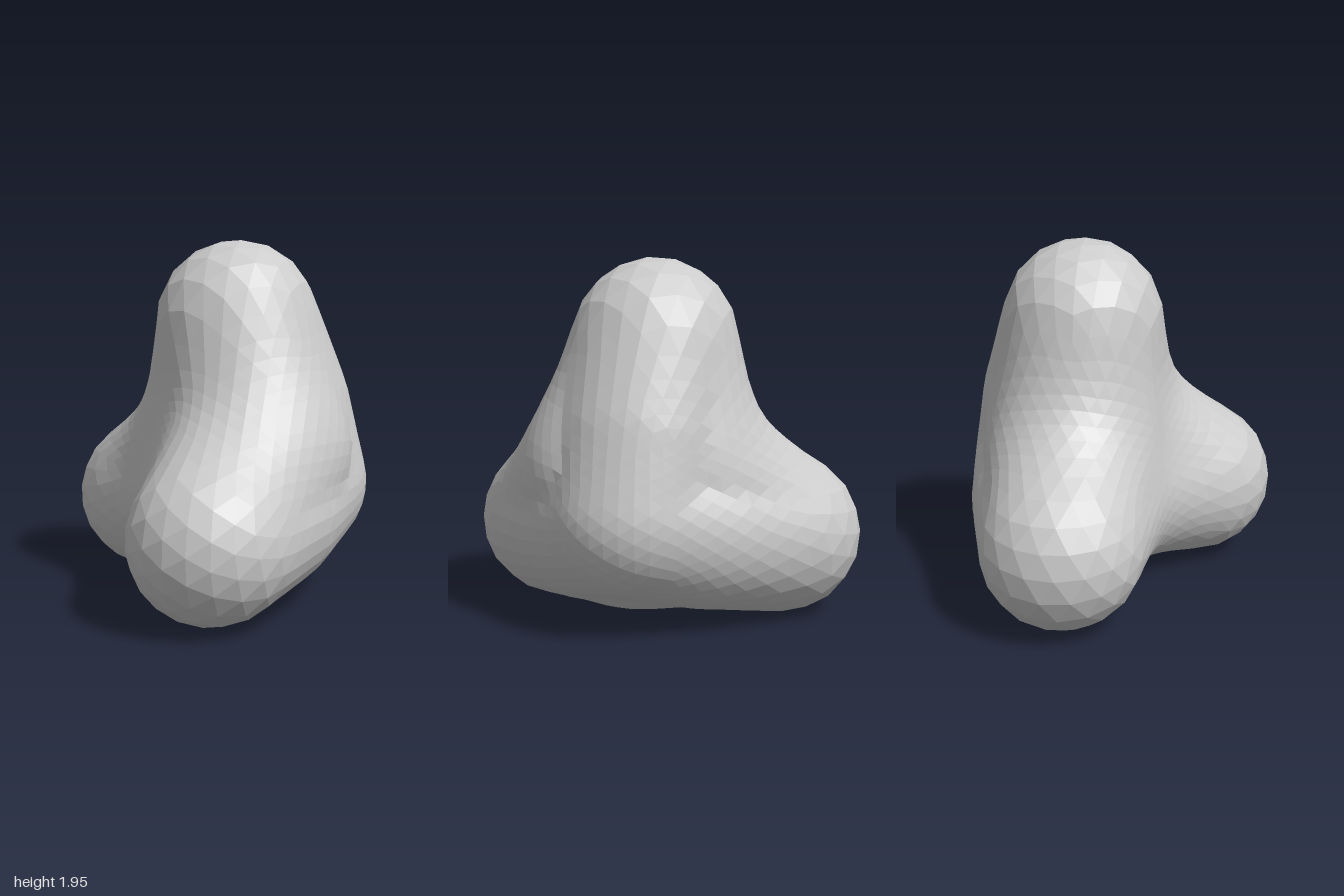
import * as THREE from 'three';

const V = (x, y, z) => new THREE.Vector3(x, y, z);
const RADIUS = 0.44;
const BLEND = 0.08;
const BULGE = 0.045;
const centre = V(0.18, 0.7, -0.18);

// Ends of the three lobes and the rear corner where they meet
const top = V(0.14, 1.51, -0.19);
const side = V(-0.56, 0.44, -0.21);
const front = V(0.56, 0.455, 0.41);
const hub = V(0.32, 0.62, -0.41);

// Saddle points that pull the webs between lobes inwards
const topSide = V(0.02, 0.82, -0.23);
const topFront = V(0.36, 0.83, -0.14);
const sideFront = V(0.24, 0.54, -0.11);

const triangle = (a, b, c) => new THREE.Triangle(a, b, c);

// Front of each lobe, and the back ridge that arches from the hub to its end
const lobes = [];
const ridges = [];
for (const [end, saddleA, saddleB] of [
  [top, topSide, topFront],
  [side, topSide, sideFront],
  [front, topFront, sideFront],
]) {
  lobes.push(triangle(end, saddleA, saddleB));
  const arch = hub.clone().lerp(end, 0.42);
  arch.addScaledVector(arch.clone().sub(centre).normalize(), BULGE);
  for (const saddle of [saddleA, saddleB]) {
    ridges.push(triangle(hub, arch, saddle), triangle(arch, end, saddle));
  }
}

const nearest = new THREE.Vector3();
const gap = (sheet, p) => sheet.closestPointToPoint(p, nearest).distanceTo(p) - RADIUS;

// Lobes melt softly into one another; ridges keep their full shape
function distanceToBody(p) {
  let sum = 0;
  for (const sheet of lobes) sum += Math.exp(-gap(sheet, p) / BLEND);
  let d = -BLEND * Math.log(sum);
  for (const sheet of ridges) d = Math.min(d, gap(sheet, p));
  return d;
}

export function createModel() {
  const group = new THREE.Group();
  group.name = 'threeLobedBlob';

  // Shrink a faceted sphere inwards until it wraps the body
  const geometry = new THREE.IcosahedronGeometry(1, 9);
  const position = geometry.attributes.position;
  const dir = new THREE.Vector3();
  const p = new THREE.Vector3();
  for (let i = 0; i < position.count; i++) {
    dir.fromBufferAttribute(position, i).normalize();
    let reach = 2;
    for (let step = 0; step < 80; step++) {
      const d = distanceToBody(p.copy(centre).addScaledVector(dir, reach));
      if (d < 0.0005) break;
      reach -= d;
    }
    p.copy(centre).addScaledVector(dir, reach);
    position.setXYZ(i, p.x, p.y, p.z);
  }

  // Rest on the ground, centred
  geometry.computeBoundingBox();
  const box = geometry.boundingBox;
  const middle = box.getCenter(new THREE.Vector3());
  geometry.translate(-middle.x, -box.min.y, -middle.z);
  geometry.computeVertexNormals();

  const material = new THREE.MeshStandardMaterial({ color: 0xcccccc, flatShading: true });
  const body = new THREE.Mesh(geometry, material);
  body.name = 'body';
  group.add(body);
  return group;
}
